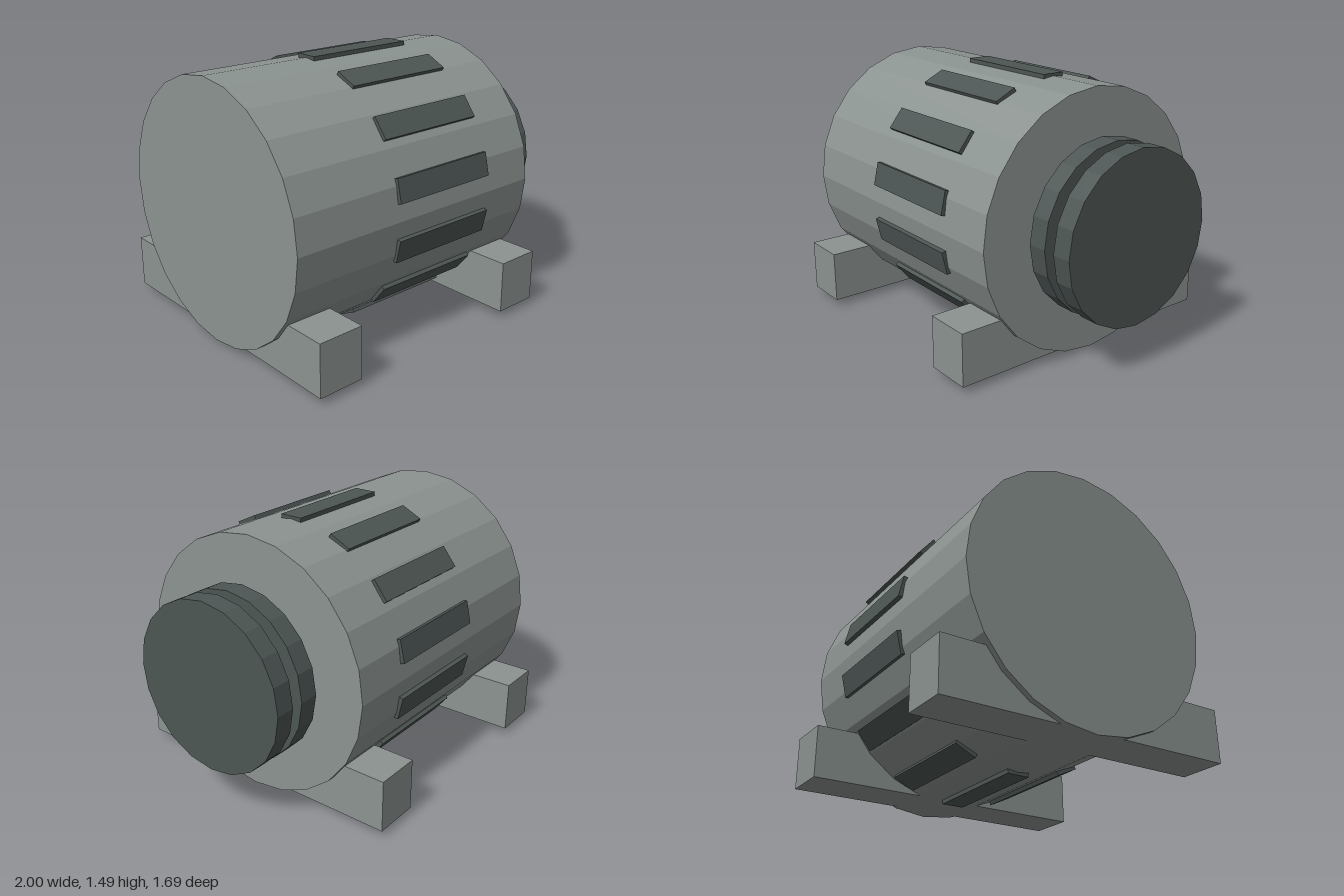
import * as THREE from 'three';

const AXIS_Y = 0.747;

export function createModel() {
  const model = new THREE.Group();
  model.name = 'motor';

  const casing = new THREE.MeshStandardMaterial({ color: 0x8b9390, flatShading: true });
  casing.name = 'casing grey';
  const dark = new THREE.MeshStandardMaterial({ color: 0x4d5654, flatShading: true });
  dark.name = 'dark grey';

  // Faceted cylinder lying along x, from x0 to x1
  function drum(name, radius, sides, x0, x1, material) {
    const geometry = new THREE.CylinderGeometry(radius, radius, x1 - x0, sides);
    geometry.rotateZ(-Math.PI / 2);
    const mesh = new THREE.Mesh(geometry, material);
    mesh.name = name;
    mesh.position.set((x0 + x1) / 2, AXIS_Y, 0);
    model.add(mesh);
  }

  drum('body', 0.731, 24, -1, 0.664, casing);
  drum('innerDisc', 0.478, 20, 0.71, 0.822, dark);
  drum('outerDisc', 0.478, 20, 0.888, 1, dark);

  // Ring of raised cooling ribs around the body
  const ribs = new THREE.Group();
  ribs.name = 'coolingRibs';
  ribs.position.set(-0.013, AXIS_Y, 0);
  const ribGeometry = new THREE.BoxGeometry(0.668, 0.034, 0.133);
  ribGeometry.translate(0, 0.729, 0);
  for (let i = 0; i < 14; i++) {
    const rib = new THREE.Mesh(ribGeometry, dark);
    rib.name = 'coolingRib';
    rib.rotation.x = (i / 14) * Math.PI * 2;
    ribs.add(rib);
  }
  model.add(ribs);

  // Two cross beams that carry the body
  for (const [name, x] of [['rightFoot', -0.834], ['leftFoot', 0.498]]) {
    const foot = new THREE.Mesh(new THREE.BoxGeometry(0.266, 0.298, 1.686), casing);
    foot.name = name;
    foot.position.set(x, 0.19, 0);
    model.add(foot);
  }

  return model;
}
